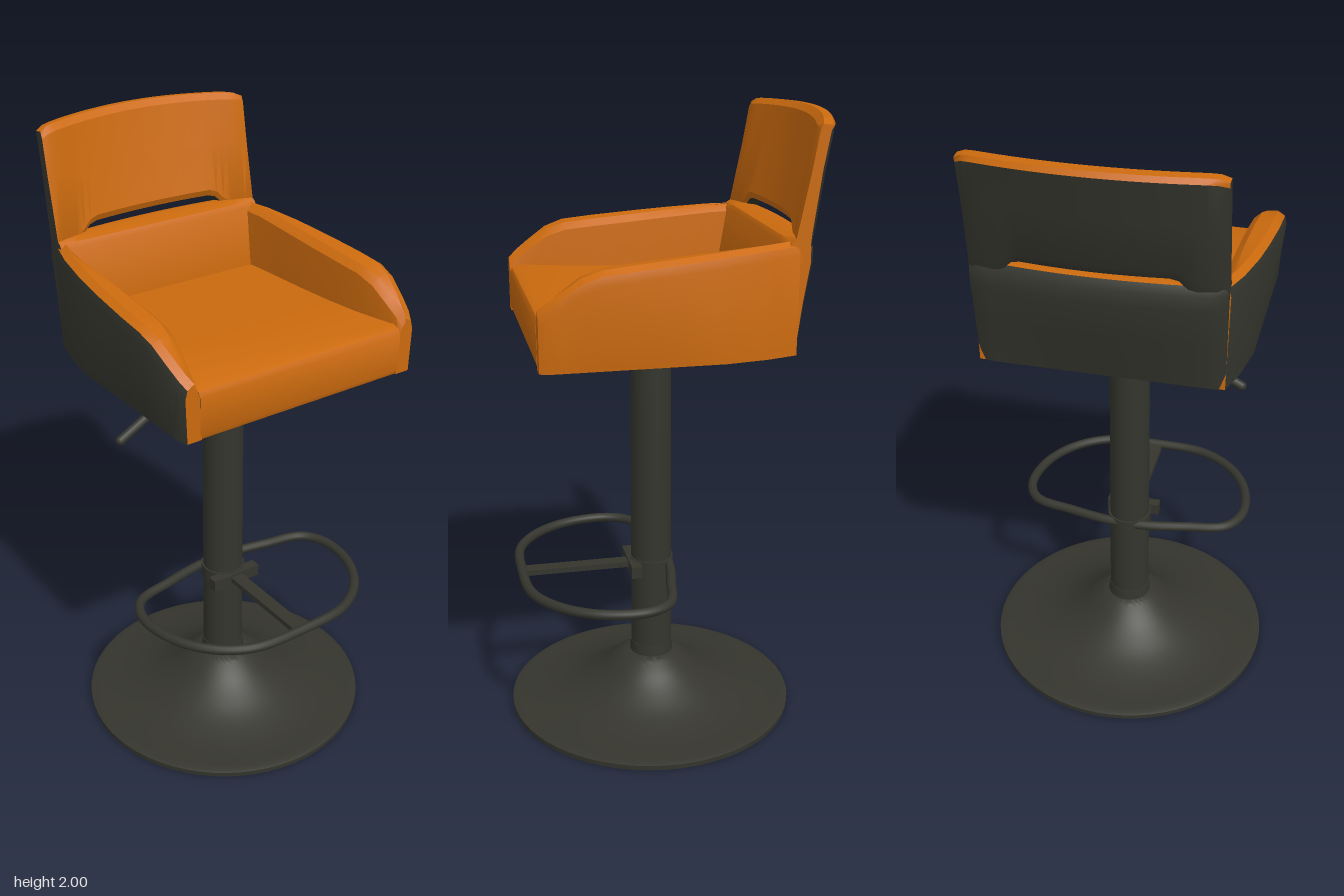
import * as THREE from 'three';
import { toCreasedNormals } from 'three/addons/utils/BufferGeometryUtils.js';

const orange = new THREE.MeshStandardMaterial({ color: 0xcb6a0e });
orange.name = 'orange upholstery';
const dark = new THREE.MeshStandardMaterial({ color: 0x35352e });
dark.name = 'dark metal and shell';
const O = 0, D = 1;

// Solid through a row of closed cross-sections; sideColors[j] paints the strip after point j
function loft(name, rings, sideColors, startColor, endColor) {
  const tris = [[], []];
  const n = rings[0].length;
  for (let i = 0; i < rings.length - 1; i++) {
    for (let j = 0; j < n; j++) {
      const k = (j + 1) % n;
      const a = rings[i][j], b = rings[i][k], c = rings[i + 1][k], d = rings[i + 1][j];
      tris[sideColors[j]].push([a, b, c], [a, c, d]);
    }
  }
  const cap = (ring, color, flip) => {
    const mid = [0, 1, 2].map((q) => ring.reduce((s, p) => s + p[q], 0) / n);
    ring.forEach((p, j) => {
      const r = ring[(j + 1) % n];
      tris[color].push(flip ? [mid, r, p] : [mid, p, r]);
    });
  };
  cap(rings[0], startColor, true);
  cap(rings[rings.length - 1], endColor, false);
  // turn the faces outward whichever way the sections run
  let volume = 0;
  for (const [a, b, c] of tris.flat()) {
    volume += a[0] * (b[1] * c[2] - b[2] * c[1]) + a[1] * (b[2] * c[0] - b[0] * c[2])
      + a[2] * (b[0] * c[1] - b[1] * c[0]);
  }
  const pos = [];
  for (const t of tris.flat()) pos.push(...(volume < 0 ? [t[0], t[2], t[1]] : t).flat());
  const geo = new THREE.BufferGeometry();
  geo.setAttribute('position', new THREE.Float32BufferAttribute(pos, 3));
  geo.addGroup(0, tris[O].length * 3, 0);
  geo.addGroup(tris[O].length * 3, tris[D].length * 3, 1);
  const mesh = new THREE.Mesh(toCreasedNormals(geo, 0.6), [orange, dark]);
  mesh.name = name;
  return mesh;
}

function part(name, geo, mat, x = 0, y = 0, z = 0) {
  const mesh = new THREE.Mesh(geo, mat);
  mesh.name = name;
  mesh.position.set(x, y, z);
  return mesh;
}

const curve = (pts, closed = false) =>
  new THREE.CatmullRomCurve3(pts.map((p) => new THREE.Vector3(...p)), closed);

function createStand() {
  const g = new THREE.Group();
  g.name = 'stand';
  const cx = 0.02;
  // flared foot
  const flare = new THREE.SplineCurve([[0.465, 0.02], [0.36, 0.031], [0.26, 0.06], [0.18, 0.105],
    [0.125, 0.15], [0.09, 0.175]].map((p) => new THREE.Vector2(...p))).getPoints(20);
  const profile = [[0, 0], [0.475, 0], [0.476, 0.016]].map((p) => new THREE.Vector2(...p));
  profile.push(...flare, new THREE.Vector2(0.06, 0.18));
  g.add(part('foot', toCreasedNormals(new THREE.LatheGeometry(profile, 64), 0.6), dark, cx + 0.005));
  // column, its collar and the plate under the seat
  g.add(part('column', new THREE.CylinderGeometry(0.065, 0.068, 1.14, 40), dark, cx, 0.74));
  g.add(part('columnCollar', new THREE.CylinderGeometry(0.07, 0.073, 0.04, 40), dark, cx, 0.195));
  g.add(part('seatMount', new THREE.BoxGeometry(0.16, 0.03, 0.16), dark, 0.01, 1.295));
  // D-shaped footrest ring
  const half = [[0.44, 0.18], [0.365, 0.295], [0.25, 0.365], [0.11, 0.38], [0.03, 0.335],
    [-0.005, 0.2], [-0.03, 0.06]];
  const loop = [[0.455, 0], ...half, ...half.map(([x, z]) => [x, -z]).reverse()]
    .map(([x, z]) => [x, 0.51, z]);
  g.add(part('footrestRing', new THREE.TubeGeometry(curve(loop, true), 120, 0.016, 12, true), dark));
  g.add(part('footrestCollar', new THREE.CylinderGeometry(0.073, 0.073, 0.045, 40), dark, cx, 0.505));
  g.add(part('footrestClamp', new THREE.BoxGeometry(0.035, 0.04, 0.18), dark, 0.085, 0.505));
  g.add(part('footrestSpoke', new THREE.BoxGeometry(0.37, 0.018, 0.045), dark, 0.27, 0.507));
  // height lever
  const rod = curve([[-0.005, 1.31, 0.125], [-0.005, 1.26, 0.145], [-0.005, 1.21, 0.18],
    [-0.005, 1.18, 0.23], [-0.005, 1.16, 0.28]]);
  g.add(part('leverRod', new THREE.TubeGeometry(rod, 24, 0.01, 10), dark));
  const grip = part('leverGrip', new THREE.CapsuleGeometry(0.015, 0.115, 6, 14), dark, -0.005, 1.136, 0.318);
  grip.rotation.x = Math.atan2(0.12, -0.065);
  g.add(grip);
  return g;
}

// Armrest: sections along x; rows give x, top height, outer z, inner z
function createArm(s) {
  const rows = [[-0.345, 1.645, 0.372, 0.315], [-0.25, 1.64, 0.4, 0.325], [-0.12, 1.63, 0.422, 0.325],
    [0, 1.62, 0.434, 0.325], [0.14, 1.608, 0.443, 0.328], [0.24, 1.598, 0.445, 0.333],
    [0.3, 1.577, 0.44, 0.34], [0.36, 1.535, 0.43, 0.348], [0.4, 1.505, 0.421, 0.354],
    [0.425, 1.483, 0.41, 0.357]];
  const rings = rows.map(([x, top, zo, zi]) => [
    [Math.min(zo - 0.005, 0.415), 1.305], [zo, top - 0.04], [zo - 0.007, top - 0.014],
    [zo - 0.03, top], [zi + 0.035, top - 0.004], [zi + 0.012, top - 0.025], [zi, 1.42], [zi, 1.305],
  ].map(([z, y]) => [x, y, s * z]));
  const side = s > 0 ? D : O;
  return loft(s > 0 ? 'leftArm' : 'rightArm', rings, [side, side, O, O, O, O, O, D], O, O);
}

function createSeat() {
  const g = new THREE.Group();
  g.name = 'seat';
  // cushion with a softened front edge
  const section = [[-0.34, 1.305], [0.42, 1.305], [0.426, 1.32], [0.426, 1.435], [0.418, 1.45],
    [0.395, 1.46], [0.1, 1.45], [-0.34, 1.44]];
  g.add(loft('cushion', [-0.362, 0.362].map((z) => section.map(([x, y]) => [x, y, z])),
    [D, O, O, O, O, O, O, D], O, D));
  g.add(createArm(1), createArm(-1));

  // curved back: the lower panel and the upper pad leave a slot between them
  const lower = [], upper = [];
  const N = 28, W = 0.368;
  for (let i = 0; i <= N; i++) {
    const t = (i / N) * 2 - 1, z = t * W, q = t * t;
    const drop = THREE.MathUtils.smoothstep(Math.abs(z), 0.22, 0.29) * 0.05;
    const tip = 0.012 * q + 0.012 * t ** 24;
    const edge = 0.012 * t ** 24; // rounds the side edges
    lower.push([[-0.35 + edge, 1.305], [-0.39 + 0.02 * q + edge, 1.46], [-0.42 + 0.03 * q + edge, 1.58],
      [-0.42 + 0.03 * q + edge, 1.625], [-0.405 + 0.03 * q, 1.65], [-0.37 + 0.03 * q, 1.656],
      [-0.322, 1.645], [-0.312, 1.63], [-0.28, 1.45], [-0.28, 1.305]].map(([x, y]) => [x, y, z]));
    const a = 0.04 * q, b = 0.062 * q;
    upper.push([[-0.415 + a, 1.672 - drop], [-0.432 + a + edge, 1.7 - drop * 0.6], [-0.468 + (a + b) / 2 + edge, 1.85],
      [-0.499 + b + edge, 1.982 - tip], [-0.49 + b, 1.997 - tip], [-0.462 + b, 2 - tip],
      [-0.442 + b - edge, 1.982 - tip], [-0.41 + (a + b) / 2 - edge, 1.84], [-0.372 + a, 1.7 - drop],
      [-0.38 + a, 1.68 - drop]].map(([x, y]) => [x, y, z]));
  }
  g.add(loft('lowerBack', lower, [D, D, D, D, O, O, O, O, O, D], O, D));
  g.add(loft('upperBack', upper, [D, D, D, O, O, O, O, O, O, D], O, D));
  return g;
}

export function createModel() {
  const model = new THREE.Group();
  model.name = 'barStool';
  model.add(createStand(), createSeat());
  return model;
}
